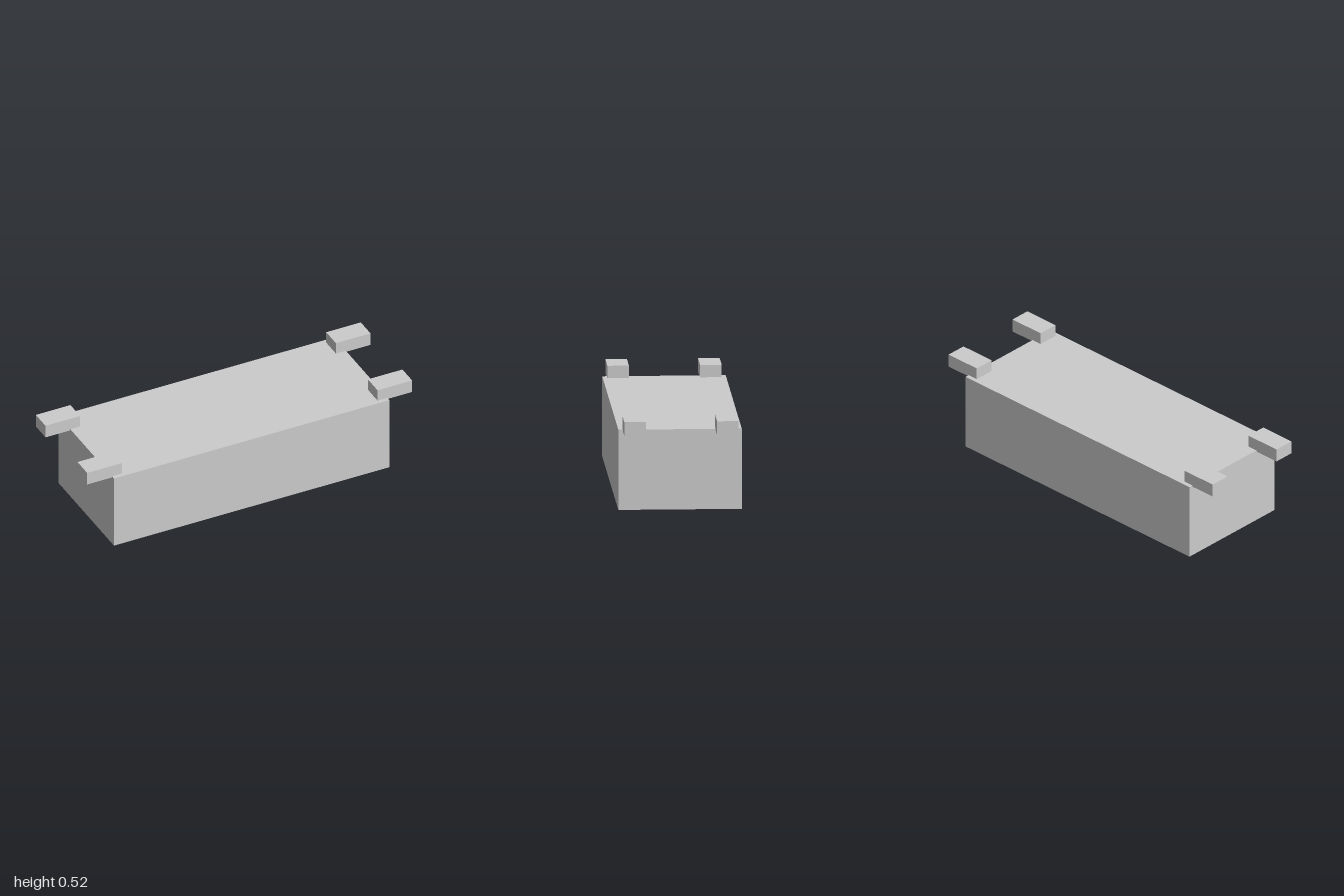
import * as THREE from 'three';

const material = new THREE.MeshStandardMaterial({ color: 0xcccccc, flatShading: true });

// Box given by its lower and upper corners
function box(name, [x0, y0, z0], [x1, y1, z1]) {
  const mesh = new THREE.Mesh(new THREE.BoxGeometry(x1 - x0, y1 - y0, z1 - z0), material);
  mesh.position.set((x0 + x1) / 2, (y0 + y1) / 2, (z0 + z1) / 2);
  mesh.name = name;
  return mesh;
}

export function createModel() {
  const model = new THREE.Group();
  model.name = 'blockWithLugs';

  // Main block
  model.add(box('body', [-0.848, 0, -0.34], [0.848, 0.448, 0.34]));

  // Four lugs overhanging the ends, sunk slightly into the top
  for (const [side, sx] of [['Left', 1], ['Right', -1]]) {
    for (const [end, sz] of [['front', 1], ['back', -1]]) {
      const lug = box(`${end}${side}Lug`, [0.787, 0.44, 0.196], [1, 0.517, 0.315]);
      lug.position.x *= sx;
      lug.position.z *= sz;
      model.add(lug);
    }
  }
  return model;
}
